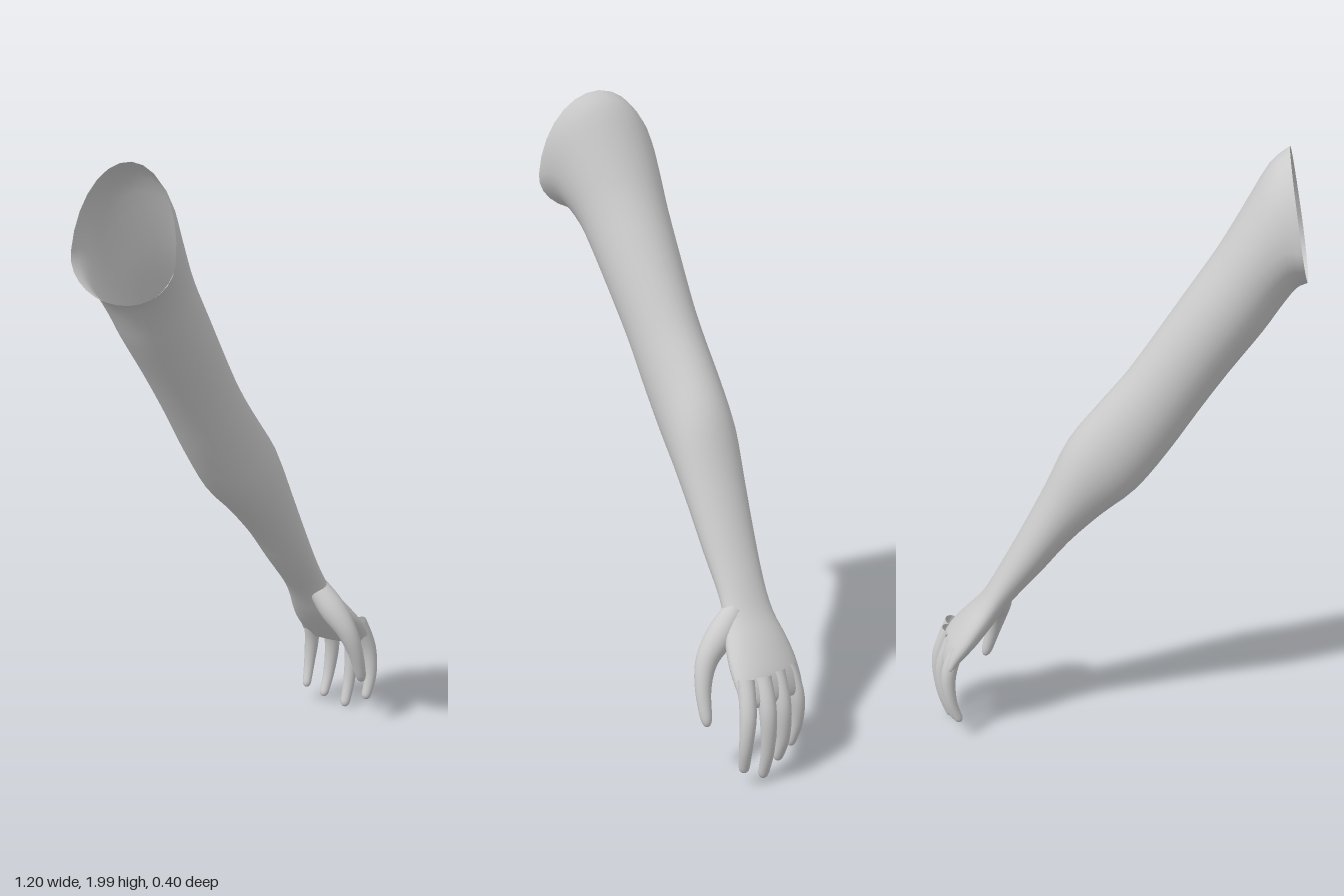
import * as THREE from 'three';

const SIDES = 28;
const material = new THREE.MeshStandardMaterial({ color: 0xcccccc, side: THREE.DoubleSide });

// Skin a list of closed rings (arrays of SIDES points), with an optional closed end
function loft(name, rings, capEnd) {
  const pos = [], idx = [];
  rings.forEach(r => r.forEach(p => pos.push(p.x, p.y, p.z)));
  for (let i = 0; i < rings.length - 1; i++) {
    for (let j = 0; j < SIDES; j++) {
      const a = i * SIDES + j, b = i * SIDES + (j + 1) % SIDES;
      idx.push(a, b, a + SIDES, b, b + SIDES, a + SIDES);
    }
  }
  if (capEnd) {
    const c = new THREE.Vector3();
    const last = rings[rings.length - 1];
    last.forEach(p => c.addScaledVector(p, 1 / SIDES));
    const base = (rings.length - 1) * SIDES;
    pos.push(c.x, c.y, c.z);
    for (let j = 0; j < SIDES; j++) idx.push(base + j, base + (j + 1) % SIDES, base + SIDES);
  }
  const g = new THREE.BufferGeometry();
  g.setAttribute('position', new THREE.Float32BufferAttribute(pos, 3));
  g.setIndex(idx);
  g.computeVertexNormals();
  const mesh = new THREE.Mesh(g, material);
  mesh.name = name;
  return mesh;
}

// Catmull-Rom blend of equal-length number rows
function sampleRows(rows, t) {
  const n = rows.length - 1, i = Math.min(Math.floor(t * n), n - 1), f = t * n - i;
  const at = k => rows[Math.max(0, Math.min(n, k))];
  return rows[i].map((_, c) => {
    const p0 = at(i - 1)[c], p1 = at(i)[c], p2 = at(i + 1)[c], p3 = at(i + 2)[c];
    return p1 + 0.5 * f * (p2 - p0 + f * (2 * p0 - 5 * p1 + 4 * p2 - p3 + f * (3 * (p1 - p2) + p3 - p0)));
  });
}

// Oval section: outer edge, inner edge, z range, height of the widest line, x skew along z
function section([tx, ty, bx, by, z0, z1, s, skew]) {
  const cx = tx + (bx - tx) * s, cy = ty + (by - ty) * s;
  const zm = (z0 + z1) / 2, zh = (z1 - z0) / 2;
  return Array.from({ length: SIDES }, (_, j) => {
    const a = j / SIDES * Math.PI * 2, u = Math.cos(a), w = Math.abs(u);
    const ex = u > 0 ? tx : bx, ey = u > 0 ? ty : by;
    const z = zm + zh * Math.sin(a);
    return new THREE.Vector3(cx + (ex - cx) * w + skew * (z - z1), cy + (ey - cy) * w, z);
  });
}

// Tapered, round-ended digit along a path of [x, y, z, radius] rows
function digit(name, rows) {
  const N = 22, rings = [], zAxis = new THREE.Vector3(0, 0, 1);
  const at = t => new THREE.Vector3(...sampleRows(rows, t));
  for (let i = 0; i <= N; i++) {
    const t = Math.sin(i / N * Math.PI / 2) * 0.998;
    const c = at(t), r0 = sampleRows(rows, t)[3];
    const dir = at(Math.min(1, t + 0.01)).sub(at(Math.max(0, t - 0.01))).normalize();
    const n1 = zAxis.clone().cross(dir).normalize(), n2 = dir.clone().cross(n1);
    const q = Math.max(0, (t - 0.9) / 0.1);
    const r = r0 * Math.sqrt(1 - q * q);
    rings.push(Array.from({ length: SIDES }, (_, j) => {
      const a = j / SIDES * Math.PI * 2;
      return c.clone().addScaledVector(n1, r * Math.cos(a)).addScaledVector(n2, r * Math.sin(a));
    }));
  }
  return loft(name, rings, true);
}

export function createModel() {
  const group = new THREE.Group();
  group.name = 'arm';

  // Shoulder opening, elbow, wrist and palm as one skin
  const rows = [
    [-0.53, 2.00, -0.60, 1.60, -0.20, 0.20, 0.67, 0],
    [-0.47, 1.95, -0.565, 1.58, -0.195, 0.165, 0.58, 0],
    [-0.39, 1.81, -0.52, 1.52, -0.185, 0.128, 0.5, 0],
    [-0.32, 1.69, -0.47, 1.445, -0.178, 0.105, 0.5, 0],
    [-0.22, 1.54, -0.37, 1.31, -0.17, 0.085, 0.5, 0],
    [-0.12, 1.39, -0.28, 1.18, -0.165, 0.067, 0.5, 0],
    [-0.05, 1.29, -0.19, 1.045, -0.168, 0.058, 0.5, 0],
    [0.04, 1.18, -0.09, 0.915, -0.17, 0.052, 0.5, 0],
    [0.13, 1.06, 0.02, 0.82, -0.165, 0.056, 0.5, 0],
    [0.20, 0.91, 0.125, 0.715, -0.15, 0.052, 0.5, 0],
    [0.28, 0.75, 0.21, 0.61, -0.135, 0.045, 0.5, 0],
    [0.36, 0.60, 0.30, 0.505, -0.122, 0.038, 0.5, 0],
    [0.42, 0.50, 0.35, 0.445, -0.126, 0.048, 0.5, 0.03],
    [0.475, 0.44, 0.40, 0.385, -0.143, 0.072, 0.5, 0.08],
    [0.525, 0.387, 0.455, 0.33, -0.155, 0.087, 0.5, 0.14],
    [0.565, 0.335, 0.505, 0.285, -0.157, 0.09, 0.5, 0.18],
    [0.585, 0.28, 0.54, 0.255, -0.155, 0.092, 0.5, 0.2],
    [0.577, 0.257, 0.557, 0.25, -0.14, 0.08, 0.5, 0.2],
  ];
  const steps = (rows.length - 1) * 3;
  const rings = Array.from({ length: steps + 1 }, (_, i) => section(sampleRows(rows, i / steps)));
  group.add(loft('armAndPalm', rings, true));

  // Curled fingers and thumb
  const digits = {
    indexFinger: [[0.535, 0.34, 0.06, 0.026], [0.573, 0.24, 0.074, 0.026], [0.577, 0.14, 0.083, 0.021], [0.555, 0.05, 0.077, 0.016]],
    middleFinger: [[0.535, 0.34, 0.002, 0.027], [0.573, 0.235, 0.004, 0.027], [0.568, 0.11, 0, 0.021], [0.538, 0.008, 0, 0.016]],
    ringFinger: [[0.515, 0.34, -0.06, 0.026], [0.549, 0.235, -0.064, 0.026], [0.543, 0.125, -0.071, 0.02], [0.508, 0.038, -0.071, 0.015]],
    littleFinger: [[0.49, 0.34, -0.115, 0.024], [0.52, 0.245, -0.131, 0.025], [0.515, 0.15, -0.137, 0.019], [0.488, 0.065, -0.13, 0.014]],
    thumb: [[0.37, 0.50, 0.0, 0.036], [0.378, 0.43, 0.058, 0.045], [0.388, 0.36, 0.112, 0.035], [0.41, 0.275, 0.137, 0.025], [0.443, 0.167, 0.14, 0.017]],
  };
  for (const [name, path] of Object.entries(digits)) group.add(digit(name, path));
  return group;
}
